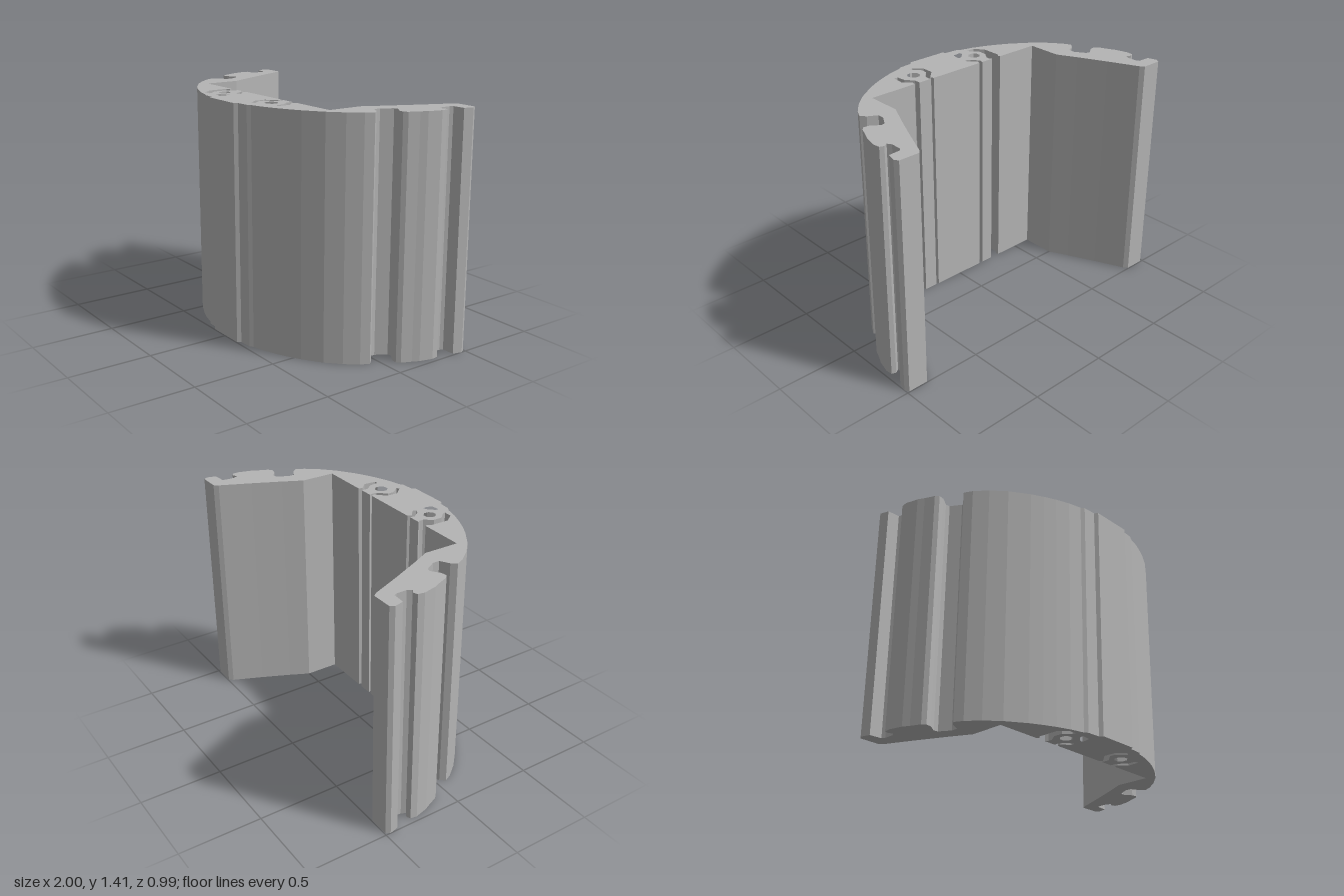
import * as THREE from 'three';

const HEIGHT = 1.415;

// Plan coordinates are [x, z]; the shape is turned upright after extrusion.
const toPoints = (pairs) => pairs.map(([x, z]) => new THREE.Vector2(x, -z));
const mirror = (pairs) => pairs.map(([x, z]) => [-x, z]).reverse();

// Side arm: inner corner, slanted inner wall, hooked tip, notches, curved front
const arm = [
  [0.62, 0.21], [0.62, 0.0], [0.68, -0.12], [0.76, -0.29], [0.84, -0.47], [0.86, -0.495],
  [0.985, -0.495], [1.0, -0.47], [0.985, -0.415], [0.91, -0.41], [0.9, -0.39], [0.9, -0.33],
  [0.915, -0.305], [0.94, -0.32], [0.965, -0.31], [0.97, -0.27], [0.95, -0.19],
  [0.93, -0.15], [0.905, -0.09], [0.885, -0.07], [0.85, -0.075], [0.8, -0.11], [0.775, -0.105],
  [0.735, -0.04], [0.735, 0.0], [0.79, 0.03], [0.815, 0.06], [0.79, 0.11],
  [0.73, 0.185], [0.65, 0.26], [0.54, 0.335], [0.47, 0.373], [0.4, 0.405],
  [0.32, 0.435], [0.24, 0.455], [0.22, 0.47], [0.14, 0.475], [0.125, 0.495],
];

// Channels opening onto the flat back wall, listed from left to right
const channels = [
  [[-0.345, 0.21], [-0.34, 0.225], [-0.355, 0.24], [-0.355, 0.36], [-0.31, 0.415], [-0.26, 0.415],
    [-0.265, 0.395], [-0.305, 0.355], [-0.305, 0.3], [-0.27, 0.25], [-0.27, 0.225], [-0.28, 0.21]],
  [[-0.2, 0.21], [-0.205, 0.24], [-0.17, 0.285], [-0.14, 0.3], [-0.135, 0.275],
    [-0.185, 0.235], [-0.175, 0.21]],
  [[0.18, 0.21], [0.19, 0.23], [0.13, 0.29], [0.13, 0.36], [0.18, 0.412], [0.2, 0.405],
    [0.155, 0.35], [0.155, 0.31], [0.205, 0.26], [0.205, 0.225], [0.2, 0.21]],
  [[0.285, 0.21], [0.285, 0.25], [0.325, 0.3], [0.33, 0.355], [0.355, 0.355], [0.36, 0.28],
    [0.315, 0.235], [0.32, 0.21]],
];

// Closed pocket beside the left screw bore
const pocket = [
  [-0.14, 0.35], [-0.135, 0.37], [-0.145, 0.41], [-0.2, 0.415], [-0.2, 0.395], [-0.165, 0.36],
];

function bore(cx, cz, r) {
  return Array.from({ length: 8 }, (_, i) => {
    const a = ((i + 0.5) / 8) * Math.PI * 2;
    return [cx + r * Math.cos(a), cz + r * Math.sin(a)];
  });
}

export function createModel() {
  const group = new THREE.Group();
  group.name = 'extrudedProfile';

  const aluminium = new THREE.MeshStandardMaterial({ color: 0xb4b4b4 });
  aluminium.name = 'aluminium grey';

  const outline = [...mirror(arm), ...channels.flat(), ...arm];
  const shape = new THREE.Shape(toPoints(outline));
  const holes = [pocket, bore(-0.235, 0.325, 0.037), bore(0.24, 0.32, 0.039)];
  for (const hole of holes) shape.holes.push(new THREE.Path(toPoints(hole)));

  const geometry = new THREE.ExtrudeGeometry(shape, { depth: HEIGHT, bevelEnabled: false });
  geometry.rotateX(-Math.PI / 2);

  const rail = new THREE.Mesh(geometry, aluminium);
  rail.name = 'curvedRail';
  group.add(rail);
  return group;
}
